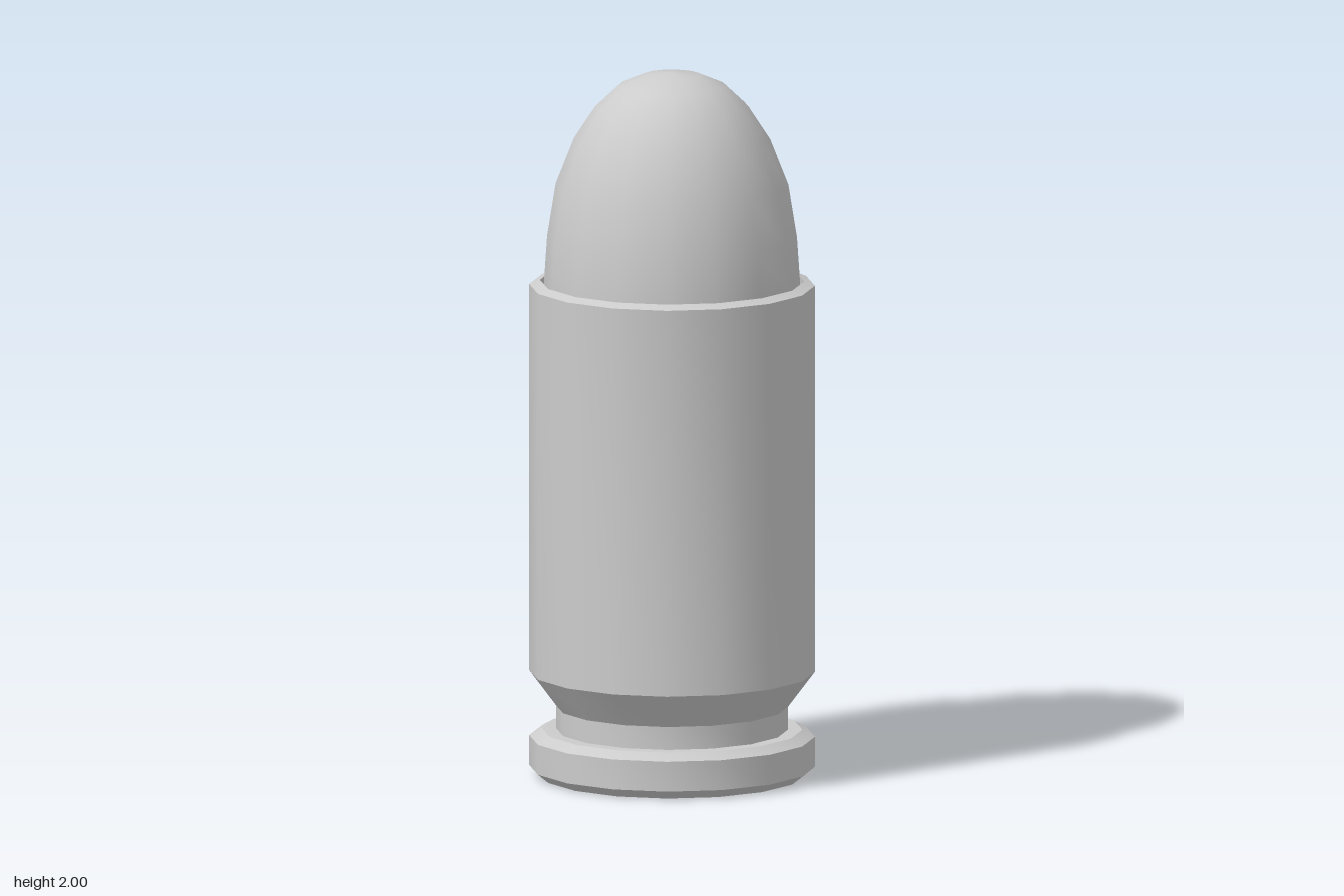
import * as THREE from 'three';
import { toCreasedNormals } from 'three/addons/utils/BufferGeometryUtils.js';

const SIDES = 16;
const material = new THREE.MeshStandardMaterial({ color: 0xcccccc });

// Turns a [radius, height] profile, listed so that the outside climbs upwards
function turned(name, profile, creaseDegrees) {
  const points = profile.map(([r, y]) => new THREE.Vector2(r, y));
  let geometry = new THREE.LatheGeometry(points, SIDES);
  if (creaseDegrees) geometry = toCreasedNormals(geometry, THREE.MathUtils.degToRad(creaseDegrees));
  const mesh = new THREE.Mesh(geometry, material);
  mesh.name = name;
  return mesh;
}

export function createModel() {
  const group = new THREE.Group();
  group.name = 'cartridge';

  // Primer: dimpled centre with a rounded edge, set in the base recess
  group.add(turned('primer', [
    [0, 0.035], [0.085, 0.035], [0.088, 0.005],
    [0.16, 0.005], [0.185, 0.011], [0.205, 0.026], [0.215, 0.035],
  ], 35));

  // Case: recess wall, rim, extractor groove, body and open mouth
  group.add(turned('case', [
    [0.215, 0.035], [0.215, 0],
    [0.37, 0], [0.4, 0.025], [0.4, 0.11], [0.365, 0.13],
    [0.325, 0.13], [0.325, 0.195], [0.4, 0.295],
    [0.4, 1.393], [0.37, 1.405],
    [0.37, 1.28], [0.34, 1.28],
  ], 28));

  // Bullet: smooth rounded nose, seated inside the mouth
  group.add(turned('bullet', [
    [0.357, 1.28], [0.358, 1.41], [0.35, 1.53], [0.326, 1.68],
    [0.275, 1.81], [0.216, 1.9], [0.152, 1.96], [0.08, 1.991], [0, 2],
  ]));

  return group;
}
